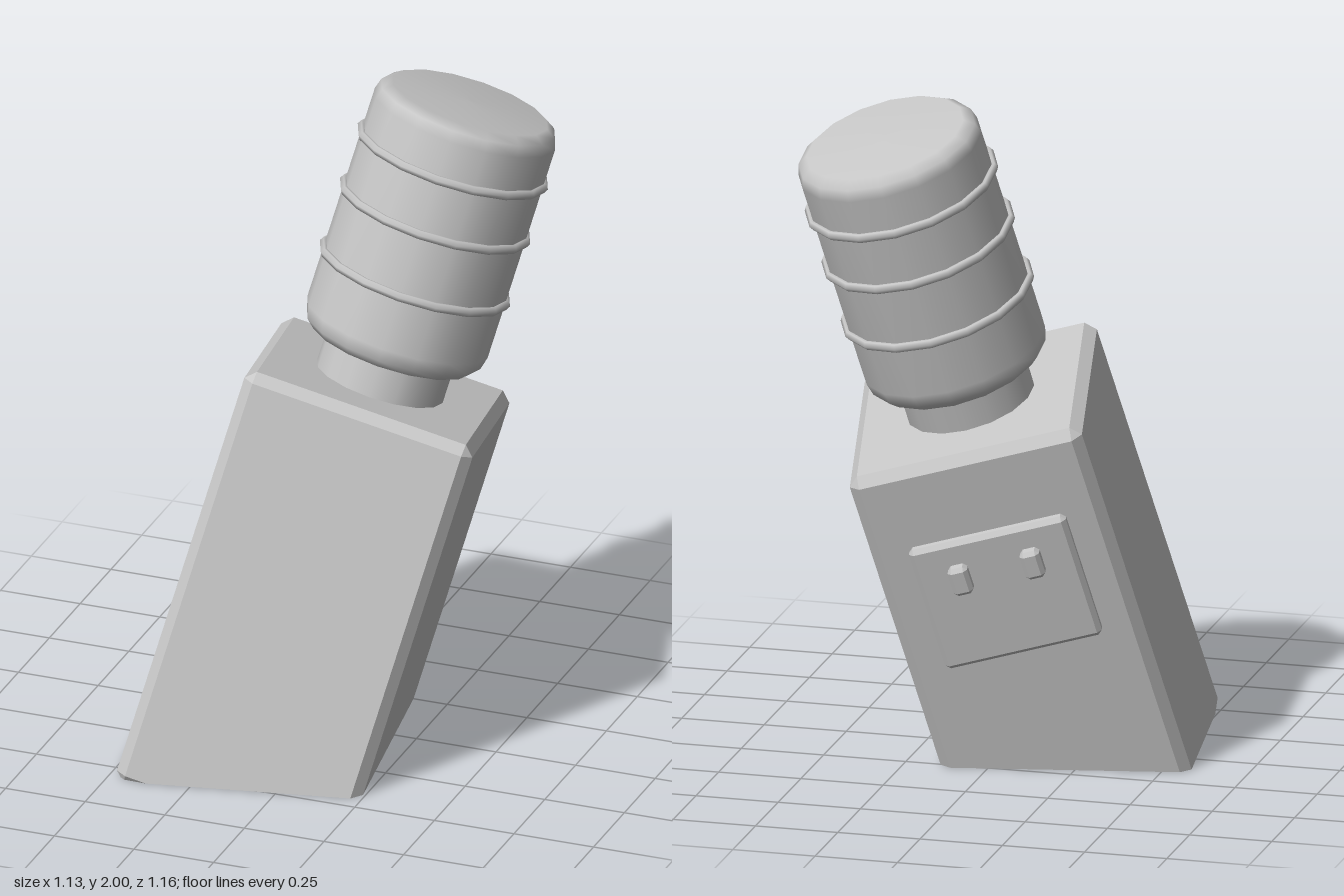
import * as THREE from 'three';
import { ConvexGeometry } from 'three/addons/geometries/ConvexGeometry.js';

const grey = new THREE.MeshStandardMaterial({ color: 0xc6c6c6 });
grey.name = 'plain grey';

// The 24 corners of a box whose edges are chamfered by c
function chamferedCorners(w, h, d, c) {
  const half = [w / 2, h / 2, d / 2];
  const points = [];
  for (const sx of [-1, 1]) for (const sy of [-1, 1]) for (const sz of [-1, 1]) {
    for (let full = 0; full < 3; full++) {
      const p = [sx, sy, sz].map((s, i) => s * (half[i] - (i === full ? 0 : c)));
      points.push(new THREE.Vector3(...p));
    }
  }
  return points;
}

// Convex solid cut off level at the ground; corners are local, matrix stands them up
function groundedSolid(corners, matrix, c) {
  const world = corners.map((p) => p.clone().applyMatrix4(matrix));
  const points = world.filter((p) => p.y >= 0);
  for (let i = 0; i < world.length; i++) for (let j = 0; j < world.length; j++) {
    const p = world[i], q = world[j];
    if (p.y <= 0 || q.y >= 0) continue;
    const d = corners[i].clone().sub(corners[j]);
    const shared = d.toArray().filter((v) => Math.abs(v) < 1e-6).length;
    if (shared < 2 && d.length() > c * 2) continue; // only true edges
    const cut = p.clone().lerp(q, p.y / (p.y - q.y));
    cut.y = 0;
    points.push(cut);
  }
  return new ConvexGeometry(points);
}

function addMesh(parent, name, geometry, x = 0, y = 0, z = 0) {
  const mesh = new THREE.Mesh(geometry, grey);
  mesh.name = name;
  mesh.position.set(x, y, z);
  parent.add(mesh);
  return mesh;
}

export function createModel() {
  const model = new THREE.Group();
  model.name = 'leaningWaterCooler';

  // Leaning frame: local y runs up the cooler's axis
  const axis = new THREE.Vector3(0.239, 1, -0.25).normalize();
  const cooler = new THREE.Group();
  cooler.name = 'cooler';
  cooler.position.set(-0.168, 0, 0.154);
  cooler.quaternion
    .setFromUnitVectors(new THREE.Vector3(0, 1, 0), axis)
    .multiply(new THREE.Quaternion().setFromAxisAngle(new THREE.Vector3(0, 1, 0), Math.PI / 18));
  cooler.updateMatrix();
  model.add(cooler);

  // Cabinet, sunk into the ground and cut level
  const chamfer = 0.03;
  const cabinet = chamferedCorners(0.71, 1.32, 0.72, chamfer);
  cabinet.forEach((p) => { p.y += 0.484; });
  addMesh(model, 'cabinet', groundedSolid(cabinet, cooler.matrix, chamfer));

  // Control panel with two taps on the back
  addMesh(cooler, 'backPanel',
    new ConvexGeometry(chamferedCorners(0.48, 0.405, 0.07, 0.014)), 0, 0.69, -0.355);
  for (const side of [-1, 1]) {
    addMesh(cooler, side > 0 ? 'leftTap' : 'rightTap',
      new ConvexGeometry(chamferedCorners(0.06, 0.09, 0.07, 0.012)), side * 0.11, 0.775, -0.39);
  }

  // Neck between cabinet and bottle
  addMesh(cooler, 'neck', new THREE.CylinderGeometry(0.195, 0.195, 0.16, 16, 1, true), 0, 1.19, 0);

  // Bottle with rounded shoulders
  const profile = [
    [0, 1.245], [0.2, 1.245], [0.245, 1.256], [0.27, 1.28], [0.28, 1.32],
    [0.28, 1.985], [0.27, 2.018], [0.24, 2.038], [0, 2.042],
  ].map(([r, y]) => new THREE.Vector2(r, y));
  addMesh(cooler, 'bottle', new THREE.LatheGeometry(profile, 16));

  // Raised hoops around the bottle
  for (const y of [1.49, 1.69, 1.865]) {
    const hoop = addMesh(cooler, 'bottleHoop', new THREE.TorusGeometry(0.281, 0.015, 6, 16), 0, y, 0);
    hoop.rotation.set(Math.PI / 2, 0, Math.PI / 2);
  }

  return model;
}
